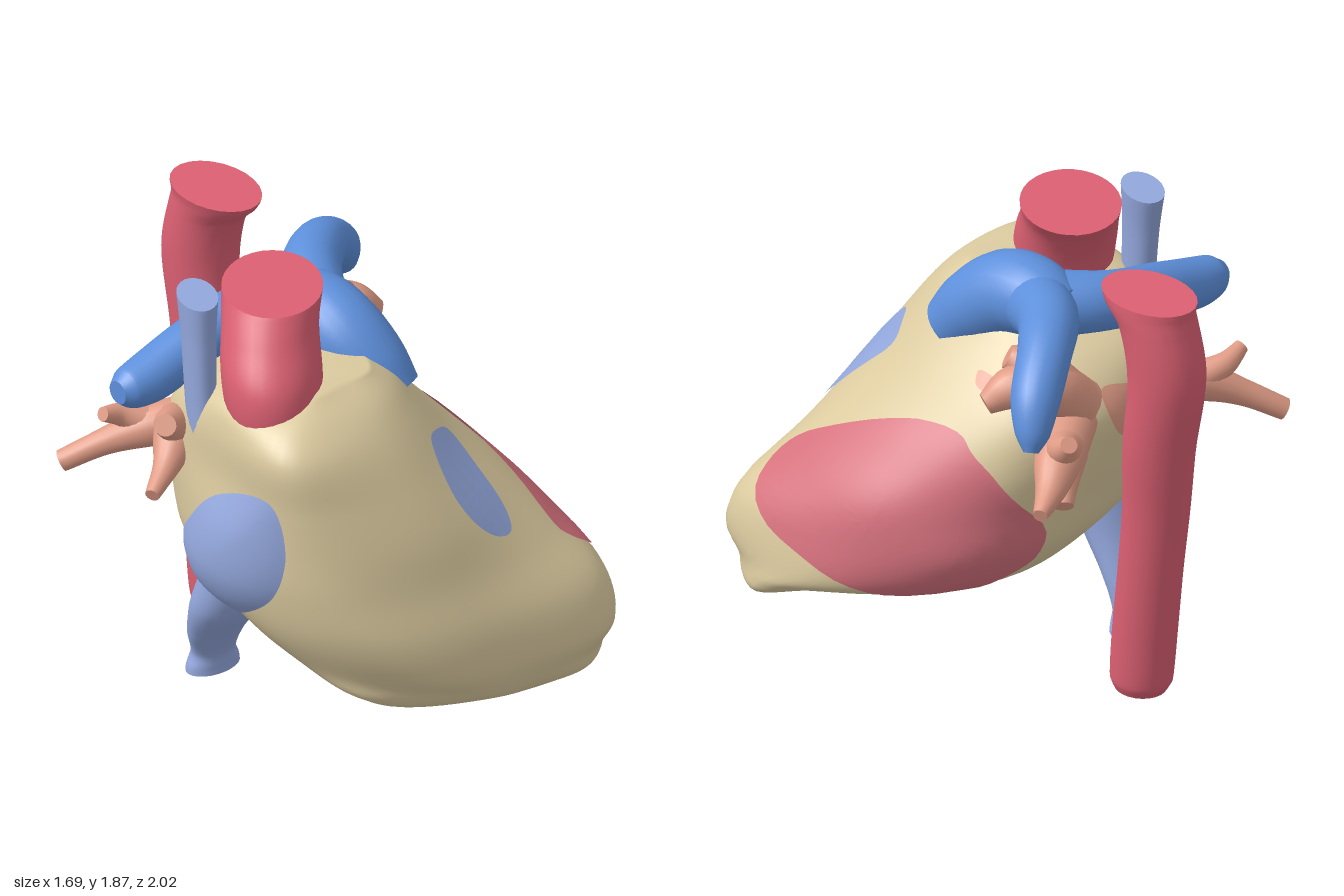
import * as THREE from 'three';

const V = (x, y, z) => new THREE.Vector3(x, y, z);
const paint = (name, color, side = THREE.FrontSide) => {
  const m = new THREE.MeshStandardMaterial({ color, side });
  m.name = name;
  return m;
};

// Skin a list of rings; caps either get their own flat edge or blend in smoothly
function loft(rings, flatCaps) {
  const n = rings[0].length, pos = [], idx = [];
  const add = (p) => pos.push(p.x, p.y, p.z) / 3 - 1;
  rings.forEach((ring) => ring.forEach(add));
  for (let i = 0; i < rings.length - 1; i++) {
    for (let j = 0; j < n; j++) {
      const a = i * n + j, b = i * n + (j + 1) % n;
      idx.push(a, b, b + n, a, b + n, a + n);
    }
  }
  [0, rings.length - 1].forEach((r) => {
    const ring = rings[r];
    const start = flatCaps ? pos.length / 3 : r * n;
    if (flatCaps) ring.forEach(add);
    const centre = V(0, 0, 0);
    ring.forEach((p) => centre.addScaledVector(p, 1 / n));
    const c = add(centre);
    for (let j = 0; j < n; j++) {
      const a = start + j, b = start + (j + 1) % n;
      if (r === 0) idx.push(c, b, a);
      else idx.push(c, a, b);
    }
  });
  return finish(pos, idx);
}

function finish(pos, idx) {
  const g = new THREE.BufferGeometry();
  g.setAttribute('position', new THREE.Float32BufferAttribute(pos, 3));
  g.setIndex(idx);
  g.computeVertexNormals();
  return g;
}

// Vessel through points [x, y, z, radius, ratio]; the ratio flattens it along its second axis
function vessel(pts, { ref = V(0, 1, 0), ratio = 1, level = false, n = 24 } = {}) {
  const path = new THREE.CatmullRomCurve3(pts.map((p) => V(p[0], p[1], p[2])));
  const size = new THREE.CatmullRomCurve3(pts.map((p, i) => V(p[3], i, p[4] ?? ratio)));
  const steps = (pts.length - 1) * 7, rings = [];
  for (let i = 0; i <= steps; i++) {
    const c = path.getPoint(i / steps), { x: r, z: k } = size.getPoint(i / steps);
    const t = level ? V(0, Math.sign(pts[pts.length - 1][1] - pts[0][1]), 0) : path.getTangent(i / steps);
    const side = ref.clone().cross(t).normalize(), up = t.clone().cross(side);
    rings.push(Array.from({ length: n }, (_, j) => {
      const a = j / n * Math.PI * 2;
      return c.clone().addScaledVector(side, r * Math.cos(a)).addScaledVector(up, r * k * Math.sin(a));
    }));
  }
  return loft(rings, true);
}

// Heart levels, top to bottom: y, centre x, centre z, then eight radii from +x round through +z
const LEVELS = [
  [1.58, -.22, .20, .20, .20, .15, .22, .20, .15, .12, .15],
  [1.50, -.22, .12, .34, .36, .37, .46, .39, .38, .35, .35],
  [1.40, -.20, .10, .40, .44, .49, .59, .45, .50, .52, .46],
  [1.20, -.12, .10, .50, .54, .61, .67, .54, .62, .60, .58],
  [1.00, -.05, .15, .60, .65, .66, .70, .64, .68, .61, .62],
  [0.80, .00, .20, .69, .78, .68, .71, .69, .71, .60, .62],
  [0.60, .08, .30, .68, .85, .66, .69, .71, .70, .63, .64],
  [0.42, .15, .45, .66, .74, .54, .57, .65, .60, .61, .60],
  [0.32, .25, .62, .57, .49, .36, .41, .65, .42, .33, .41],
  [0.25, .30, .70, .49, .37, .25, .30, .55, .24, .19, .26],
  [0.20, .35, .76, .31, .20, .14, .16, .28, .13, .10, .14],
];

function heartGeometry() {
  const meridians = Array.from({ length: 8 }, (_, k) => {
    const a = k * Math.PI / 4;
    return new THREE.CatmullRomCurve3(LEVELS.map((l) =>
      V(l[1] + l[3 + k] * Math.cos(a), l[0], l[2] + l[3 + k] * Math.sin(a))));
  });
  const rings = [];
  for (let i = 0; i <= 60; i++) {
    const hoop = new THREE.CatmullRomCurve3(meridians.map((m) => m.getPoint(i / 60)), true);
    rings.push(Array.from({ length: 64 }, (_, j) => hoop.getPoint(j / 64)));
  }
  return loft(rings, false);
}

// Thin patch laid on the heart: an outline seen along one axis, dropped onto the surface
function patch(heart, axis, sign, outline, bulge = 0) {
  const place = { x: (u, v) => V(3 * sign, v, u), y: (u, v) => V(u, 3 * sign, v), z: (u, v) => V(u, v, 3 * sign) }[axis];
  const dir = V(0, 0, 0);
  dir[axis] = -sign;
  const edge = new THREE.CatmullRomCurve3(outline.map((p) => V(p[0], p[1], 0)), true);
  const mid = V(0, 0, 0);
  outline.forEach((p) => mid.add(V(p[0] / outline.length, p[1] / outline.length, 0)));
  const ray = new THREE.Raycaster(), n = 52, rows = 15, pos = [], idx = [];
  const drop = (target, t) => {
    for (let s = t; ; s *= 0.97) {
      const p = mid.clone().lerp(target, s);
      ray.set(place(p.x, p.y), dir);
      const hit = ray.intersectObject(heart)[0];
      if (hit) {
        const q = hit.point.addScaledVector(hit.face.normal, 0.008 + bulge * (1 - t * t));
        return pos.push(q.x, q.y, q.z);
      }
      if (s < 0.01) throw new Error('patch lies off the heart');
    }
  };
  drop(mid, 0);
  for (let i = 1; i <= rows; i++) for (let j = 0; j < n; j++) drop(edge.getPoint(j / n), i / rows);
  for (let j = 0; j < n; j++) {
    const k = (j + 1) % n;
    idx.push(0, 1 + j, 1 + k);
    for (let i = 0; i < rows - 1; i++) {
      const a = 1 + i * n + j, b = 1 + i * n + k;
      idx.push(a, a + n, b + n, a, b + n, b);
    }
  }
  return finish(pos, idx);
}

export function createModel() {
  const group = new THREE.Group();
  const muscle = paint('heart muscle', 0xdccba0);
  const red = paint('artery red', 0xdb6072);
  const blue = paint('pulmonary blue', 0x5e90dc);
  const paleBlue = paint('venous blue', 0x93a7dc, THREE.DoubleSide);
  const rose = paint('chamber rose', 0xd6727e, THREE.DoubleSide);
  const salmon = paint('vein salmon', 0xe09c86, THREE.DoubleSide);
  const add = (name, geometry, material) => {
    const m = new THREE.Mesh(geometry, material);
    m.name = name;
    group.add(m);
    return m;
  };

  // Heart body and the chamber areas showing on it
  const heart = add('heartBody', heartGeometry(), muscle);
  add('leftVentricleWall', patch(heart, 'x', 1, [
    [.79, .75], [.72, .84], [.55, .95], [.3, 1.07], [.1, 1.13], [-.08, 1.13], [-.15, 1.08], [-.25, 1.0], [-.32, .85],
    [-.34, .7], [-.29, .57], [-.2, .48], [-.08, .41], [.1, .41], [.25, .45], [.45, .52], [.65, .58], [.78, .67]]), rose);
  add('leftVentricleUnderside', patch(heart, 'y', -1, [
    [.5, .67], [.55, .5], [.45, .26], [.29, .07], [.13, -.04], [.1, .03], [.22, .19], [.35, .39], [.42, .57]]), rose);
  add('rightVentricleFront', patch(heart, 'z', 1, [
    [.06, 1.3], [.14, 1.29], [.22, 1.24], [.27, 1.1], [.3, .96], [.28, .9], [.2, .91], [.1, 1.0], [.04, 1.14]]), paleBlue);
  add('rightVentricleUnderside', patch(heart, 'y', -1, [
    [.23, .84], [.36, .63], [.23, .37], [.01, .19], [-.22, .15], [-.22, .35], [-.1, .55], [.06, .72]]), paleBlue);
  add('rightAtrium', patch(heart, 'x', -1, [
    [.43, 1.22], [.5, 1.02], [.45, .8], [.3, .66], [.05, .55], [-.16, .55], [-.17, .75], [-.04, .95], [.13, 1.13]], .06), paleBlue);
  add('leftAtriumBack', patch(heart, 'z', -1, [
    [0, 1.3], [-.2, 1.28], [-.4, 1.26], [-.53, 1.2], [-.5, 1.08], [-.3, 1.04], [-.05, 1.1]]), salmon);
  add('leftAtriumSpot', patch(heart, 'x', 1, [
    [-.02, 1.33], [-.08, 1.33], [-.15, 1.31], [-.13, 1.28], [-.04, 1.29]]), salmon);

  // Great arteries and caval veins, cut level at their ends
  add('ascendingAorta', vessel([
    [-.40, 1.28, .17, .2], [-.41, 1.46, .16, .25], [-.40, 1.62, .13, .26], [-.34, 1.77, .05, .25], [-.27, 1.88, -.02, .26]],
  { level: true, ref: V(.77, 0, .64), ratio: .78, n: 32 }), red);
  add('descendingAorta', vessel([
    [.035, 1.88, -.735, .155, 1.42], [.04, 1.84, -.745, .152, 1.35], [.04, 1.76, -.79, .15, 1.15], [.035, 1.55, -.83, .15],
    [.03, 1.2, -.785, .14], [.01, .9, -.75, .13], [0, .6, -.71, .125], [-.01, .3, -.67, .125], [-.015, .06, -.645, .12], [-.015, .01, -.64, .1]],
  { level: true, ref: V(0, 0, 1), ratio: 1.1 }), red);
  add('superiorVenaCava', vessel([
    [-.58, 1.2, -.06, .1], [-.57, 1.4, -.1, .1], [-.56, 1.7, -.13, .11], [-.55, 1.88, -.15, .13]],
  { level: true, ref: V(.9, 0, .45), ratio: .62 }), paleBlue);
  add('inferiorVenaCava', vessel([
    [-.40, .6, -.06, .16, .9], [-.41, .4, -.14, .155, .85], [-.38, .22, -.24, .125, .75], [-.35, .1, -.29, .1, .75],
    [-.345, .04, -.3, .12, .65], [-.345, .01, -.3, .125, .63]],
  { level: true, ref: V(0, 0, 1) }), paleBlue);

  // Pulmonary trunk and its two branches
  add('pulmonaryTrunk', vessel([[.11, 1.36, .28, .12], [.07, 1.47, .18, .155], [.03, 1.58, .03, .17], [.03, 1.61, -.14, .155], [.03, 1.6, -.27, .1]],
    { ref: V(1, 0, 0) }), blue);
  add('leftPulmonaryArtery', vessel([
    [.03, 1.59, -.1, .14], [.17, 1.64, -.31, .125], [.34, 1.62, -.45, .11], [.5, 1.51, -.55, .1], [.57, 1.4, -.6, .07], [.6, 1.34, -.62, .03]]), blue);
  add('rightPulmonaryArtery', vessel([
    [.04, 1.59, -.13, .14], [-.18, 1.58, -.3, .12], [-.45, 1.52, -.32, .11], [-.66, 1.46, -.32, .105], [-.77, 1.45, -.32, .085], [-.82, 1.45, -.32, .05]]), blue);

  // Pulmonary veins, each a stem with forked ends
  const veins = {
    leftUpperVein: [
      [[.08, 1.26, -.42, .1], [.24, 1.39, -.37, .11], [.37, 1.41, -.3, .09], [.47, 1.36, -.25, .045]],
      [[.16, 1.34, -.4, .1], [.25, 1.45, -.32, .1], [.32, 1.51, -.23, .05]],
      [[.18, 1.36, -.38, .1], [.27, 1.46, -.39, .07], [.33, 1.51, -.42, .035]]],
    leftLowerVein: [
      [[.12, 1.2, -.4, .1], [.33, 1.16, -.52, .1], [.48, 1.1, -.61, .06], [.6, 1.07, -.67, .03]],
      [[.26, 1.17, -.49, .09], [.36, 1.23, -.57, .065], [.39, 1.29, -.63, .035]],
      [[.28, 1.15, -.51, .09], [.37, 1.07, -.58, .06], [.42, 1.02, -.63, .04]]],
    rightUpperVein: [
      [[-.42, 1.24, -.3, .11], [-.58, 1.22, -.23, .1], [-.72, 1.15, -.14, .055], [-.85, 1.1, -.07, .03]],
      [[-.54, 1.23, -.25, .1], [-.66, 1.31, -.18, .07], [-.74, 1.36, -.12, .045]]],
    rightLowerVein: [
      [[-.36, 1.15, -.36, .1], [-.54, 1.12, -.46, .085], [-.68, 1.05, -.57, .055], [-.81, .96, -.68, .045]],
      [[-.5, 1.12, -.44, .08], [-.63, 1.18, -.52, .05], [-.73, 1.22, -.52, .03]]],
  };
  for (const [name, tubes] of Object.entries(veins)) {
    tubes.forEach((pts, i) => add(i ? `${name}Branch${i}` : name, vessel(pts, { n: 16 }), salmon));
  }
  return group;
}
